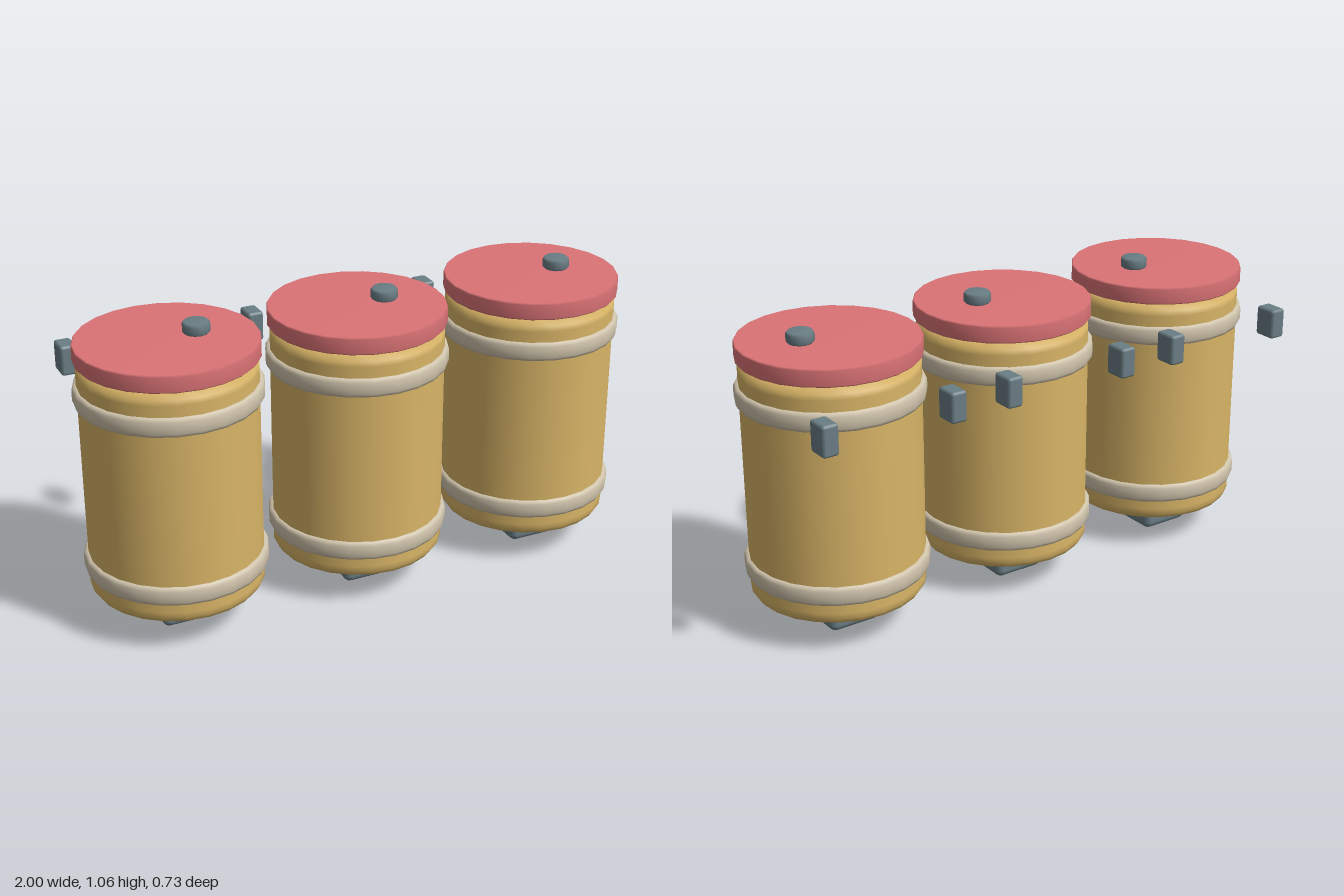
import * as THREE from 'three';
import { RoundedBoxGeometry } from 'three/addons/geometries/RoundedBoxGeometry.js';

const SPACING = 0.684, CENTER_Z = 0.048, SIDES = 24;

function material(name, color) {
  const m = new THREE.MeshStandardMaterial({ color });
  m.name = name;
  return m;
}

// Turned solid from [radius, height] pairs, bottom to top
function turned(points, sides = SIDES) {
  return new THREE.LatheGeometry(points.map(([r, y]) => new THREE.Vector2(r, y)), sides);
}

function addMesh(parent, name, geometry, mat, x = 0, y = 0, z = 0) {
  const mesh = new THREE.Mesh(geometry, mat);
  mesh.name = name;
  mesh.position.set(x, y, z);
  parent.add(mesh);
  return mesh;
}

export function createModel() {
  const yellow = material('mustard yellow', 0xd9b567);
  const red = material('lid red', 0xdb7376);
  const cream = material('band cream', 0xd0c4ac);
  const steel = material('steel grey', 0x6a7e85);

  // Drum with chamfered ends
  const body = turned([
    [0, 0.115], [0.268, 0.115], [0.288, 0.122], [0.3, 0.14],
    [0.3, 0.16], [0.3, 0.91], [0.3, 0.93], [0.278, 0.955], [0, 0.957],
  ]);
  // Flat lid with softly shaded rim
  const lid = turned([
    [0, 0.955], [0.302, 0.955], [0.308, 0.961], [0.308, 1.011], [0.304, 1.017], [0, 1.017],
  ]);
  // Bulging hoop around the drum
  const band = turned([
    [0.296, -0.032], [0.309, -0.032], [0.315, -0.02], [0.316, 0],
    [0.315, 0.02], [0.309, 0.032], [0.296, 0.032],
  ]);
  const knob = turned([
    [0, 0], [0.04, 0], [0.047, 0.007], [0.047, 0.033], [0.041, 0.041], [0, 0.041],
  ], 12);
  const foot = new RoundedBoxGeometry(0.195, 0.16, 0.233, 2, 0.025);
  const bracket = new RoundedBoxGeometry(0.058, 0.107, 0.084, 1, 0.01);

  const model = new THREE.Group();
  model.name = 'tankRow';
  for (const i of [-1, 0, 1]) {
    const tank = new THREE.Group();
    tank.name = 'tank';
    tank.position.set(i * SPACING, 0, CENTER_Z);
    model.add(tank);

    addMesh(tank, 'body', body, yellow);
    addMesh(tank, 'lid', lid, red);
    addMesh(tank, 'lowerBand', band, cream, 0, 0.227, 0);
    addMesh(tank, 'upperBand', band, cream, 0, 0.839, 0);
    addMesh(tank, 'lidKnob', knob, steel, 0.103, 1.016, 0);
    addMesh(tank, 'outletFoot', foot, steel, 0, 0.08, 0);
    // Pair of wall brackets behind the drum
    for (const side of [-1, 1]) {
      addMesh(tank, side > 0 ? 'leftBracket' : 'rightBracket', bracket, steel,
        side * 0.233, 0.848, -0.323 - CENTER_Z);
    }
  }
  return model;
}
